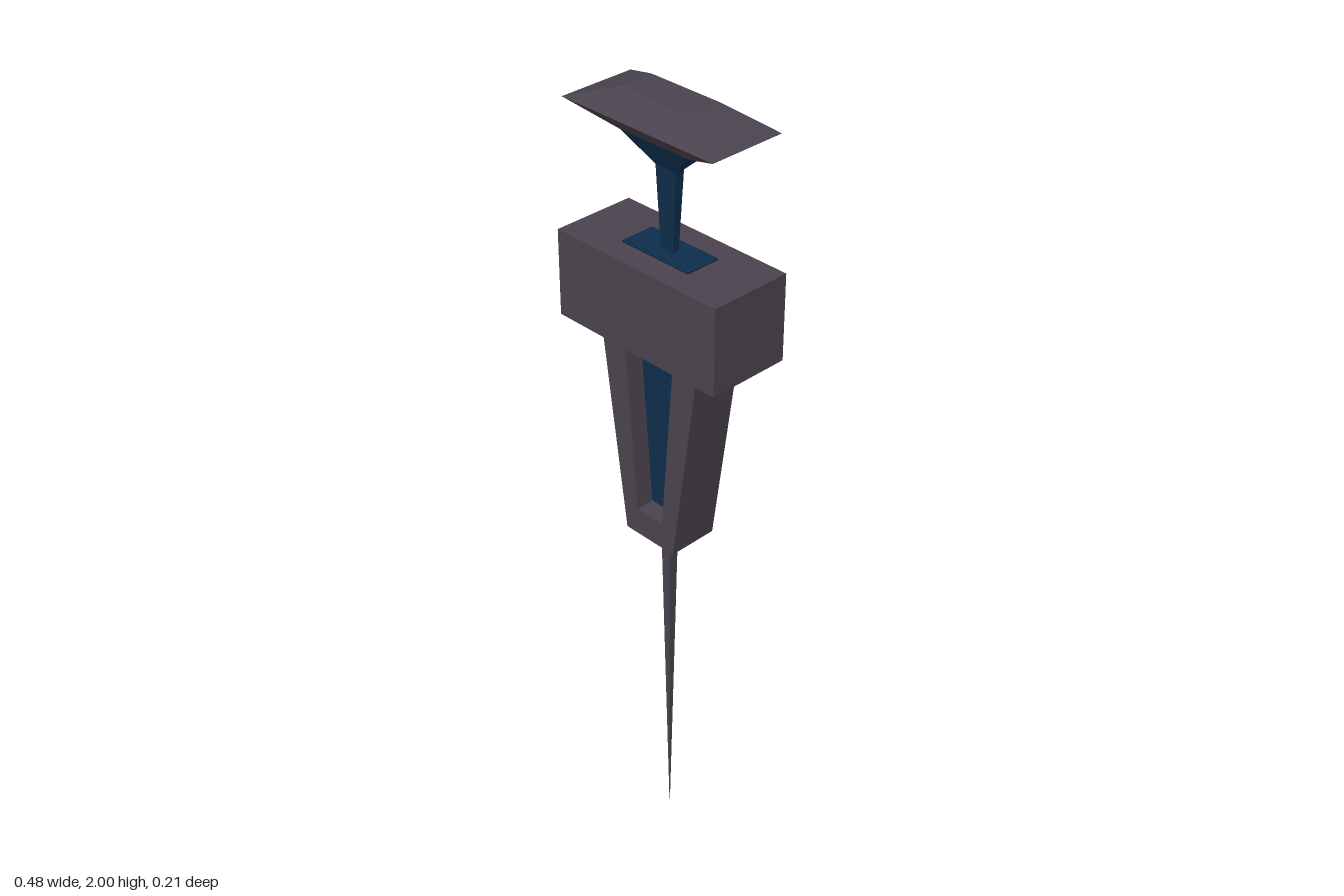
import * as THREE from 'three';

const makeMaterial = (color) => new THREE.MeshStandardMaterial({ color, flatShading: true });

// Closed solid through rectangular sections [y, half width, half depth], bottom to top
function rectLoft(sections) {
  const pos = [];
  const idx = [];
  for (const [y, w, d] of sections) pos.push(-w, y, d, w, y, d, w, y, -d, -w, y, -d);
  for (let s = 0; s < sections.length - 1; s++) {
    for (let i = 0; i < 4; i++) {
      const a = s * 4 + i, b = s * 4 + (i + 1) % 4;
      idx.push(a, b, b + 4, a, b + 4, a + 4);
    }
  }
  const t = (sections.length - 1) * 4;
  idx.push(0, 2, 1, 0, 3, 2, t, t + 1, t + 2, t, t + 2, t + 3);
  const indexed = new THREE.BufferGeometry();
  indexed.setAttribute('position', new THREE.Float32BufferAttribute(pos, 3));
  indexed.setIndex(idx);
  const geometry = indexed.toNonIndexed();
  geometry.computeVertexNormals();
  return geometry;
}

// Outline in the xy plane extruded from z0 to z1
function slab(points, z0, z1) {
  const shape = new THREE.Shape(points.map(([x, y]) => new THREE.Vector2(x, y)));
  return new THREE.ExtrudeGeometry(shape, { depth: z1 - z0, bevelEnabled: false }).translate(0, 0, z0);
}

export function createModel() {
  const model = new THREE.Group();
  model.name = 'syringe';
  const casing = makeMaterial(0x4a434e);
  const blue = makeMaterial(0x0d2d4a);

  const add = (name, geometry, material, parent = model) => {
    const mesh = new THREE.Mesh(geometry, material);
    mesh.name = name;
    parent.add(mesh);
  };

  // Tapered barrel: solid back, and a front frame open around the window
  const top = 1.43, bottom = 0.9, sill = 0.97, recess = 0.015, half = 0.065;
  const barrel = new THREE.Group();
  barrel.name = 'barrel';
  model.add(barrel);
  const outer = [[-0.15, top], [-0.077, bottom], [0.077, bottom], [0.15, top]];
  const opening = [[0.077, top], [0.041, sill], [-0.041, sill], [-0.077, top]];
  add('barrelBack', slab(outer, -half, recess), casing, barrel);
  add('barrelFrame', slab([...outer, ...opening], recess, half), casing, barrel);
  add('fluidWindow', slab(opening, recess, recess + 0.002), blue, barrel);

  // Wide collar with the blue inlay on its top
  add('collar', rectLoft([[top, 0.24, 0.106], [1.643, 0.24, 0.106]]), casing);
  add('collarInlay', rectLoft([[1.64, 0.1, 0.045], [1.647, 0.1, 0.045]]), blue);

  // Plunger rod flaring into the thumb rest
  add('plungerRod', rectLoft([[1.645, 0.019, 0.008], [1.84, 0.03, 0.012], [1.905, 0.1, 0.045]]), blue);
  add('thumbRest', rectLoft([[1.905, 0.1, 0.045], [1.956, 0.22, 0.098], [2, 0.1, 0.045]]), casing);

  // Needle drawn out to a point
  add('needle', rectLoft([[0, 0.0005, 0.0005], [bottom, 0.014, 0.014]]), casing);

  return model;
}
